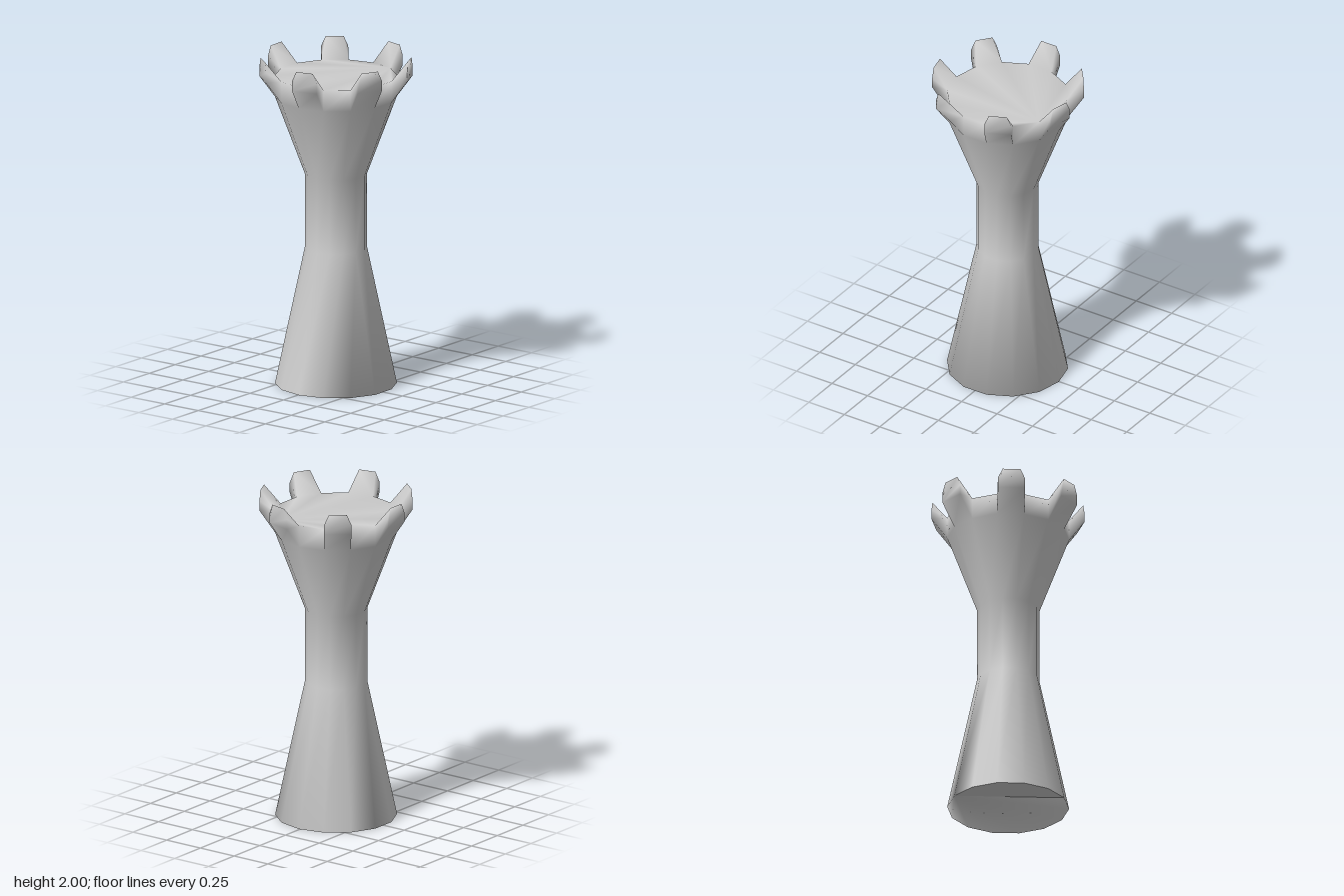
import * as THREE from 'three';

const SIDES = 14;
const STEP = (Math.PI * 2) / SIDES;
const CENTRE_X = 0.005;

export function createModel() {
  const positions = [];
  const parts = { body: [], battlements: [], deck: [], base: [] };

  const vertex = (x, y, z) => positions.push(x, y, z) / 3 - 1;
  const polygon = (part, ...c) => {
    for (let i = 1; i < c.length - 1; i++) parts[part].push(c[0], c[i], c[i + 1]);
  };
  const ring = (radius, y) => Array.from({ length: SIDES }, (_, k) => {
    const t = (k + 0.5) * STEP;
    return vertex(CENTRE_X + radius * Math.cos(t), y, radius * Math.sin(t));
  });

  // Tower wall: flared foot, straight neck, flared head and upright rim
  const profile = [[0.36, 0], [0.184, 0.83], [0.184, 1.28], [0.36, 1.75], [0.36, 1.88]];
  const rings = profile.map(([r, y]) => ring(r, y));
  const [foot, , , rimLow, rimTop] = rings;
  for (let j = 0; j < rings.length - 1; j++) {
    for (let k = 0; k < SIDES; k++) {
      const n = (k + 1) % SIDES;
      if (j === 3 && k % 2 === 0) continue; // a merlon grows from this rim face
      polygon('body', rings[j][n], rings[j][k], rings[j + 1][k], rings[j + 1][n]);
    }
  }

  // Merlons: every other rim face pushed outward and up, top corners cut off
  const merlonEnd = [[0.08, 1.88], [0.08, 1.94], [0.053, 2]];
  for (let k = 0; k < SIDES; k += 2) {
    const n = k + 1;
    const t = n * STEP;
    const outer = (side) => merlonEnd.map(([w, y]) => vertex(
      CENTRE_X + 0.445 * Math.cos(t) - side * w * Math.sin(t),
      y,
      0.445 * Math.sin(t) + side * w * Math.cos(t)));
    const A = outer(-1);
    const B = outer(1);
    const [a, b, c, d] = [rimLow[k], rimLow[n], rimTop[n], rimTop[k]];
    polygon('battlements', B[0], A[0], A[1], A[2], B[2], B[1]); // end
    polygon('battlements', b, a, A[0], B[0]); // underside
    polygon('battlements', A[0], a, d, A[1]); // sides
    polygon('battlements', b, B[0], B[1], c);
    polygon('battlements', d, A[2], A[1]); // cut corners
    polygon('battlements', c, B[1], B[2]);
    polygon('battlements', c, B[2], A[2], d); // top
  }

  // Deck: a fan from one rim corner
  const fan = Array.from({ length: SIDES }, (_, i) => rimTop[(11 - i + SIDES) % SIDES]);
  polygon('deck', ...fan);

  // Underside: a part blended into the wall and a flat segment
  polygon('base', ...Array.from({ length: 10 }, (_, i) => foot[(7 + i) % SIDES]));
  const flat = foot.slice(2, 8).map((v) => vertex(...positions.slice(v * 3, v * 3 + 3)));
  polygon('base', ...flat);

  // Smooth normals run across all parts, so compute them once and share them
  const whole = new THREE.BufferGeometry();
  whole.setAttribute('position', new THREE.Float32BufferAttribute(positions, 3));
  whole.setIndex(Object.values(parts).flat());
  whole.computeVertexNormals();

  const group = new THREE.Group();
  group.name = 'tower';
  const material = new THREE.MeshStandardMaterial({ color: 0xcccccc });
  for (const [name, index] of Object.entries(parts)) {
    const geometry = new THREE.BufferGeometry();
    geometry.setAttribute('position', whole.getAttribute('position'));
    geometry.setAttribute('normal', whole.getAttribute('normal'));
    geometry.setIndex(index);
    const mesh = new THREE.Mesh(geometry, material);
    mesh.name = name;
    group.add(mesh);
  }
  return group;
}
